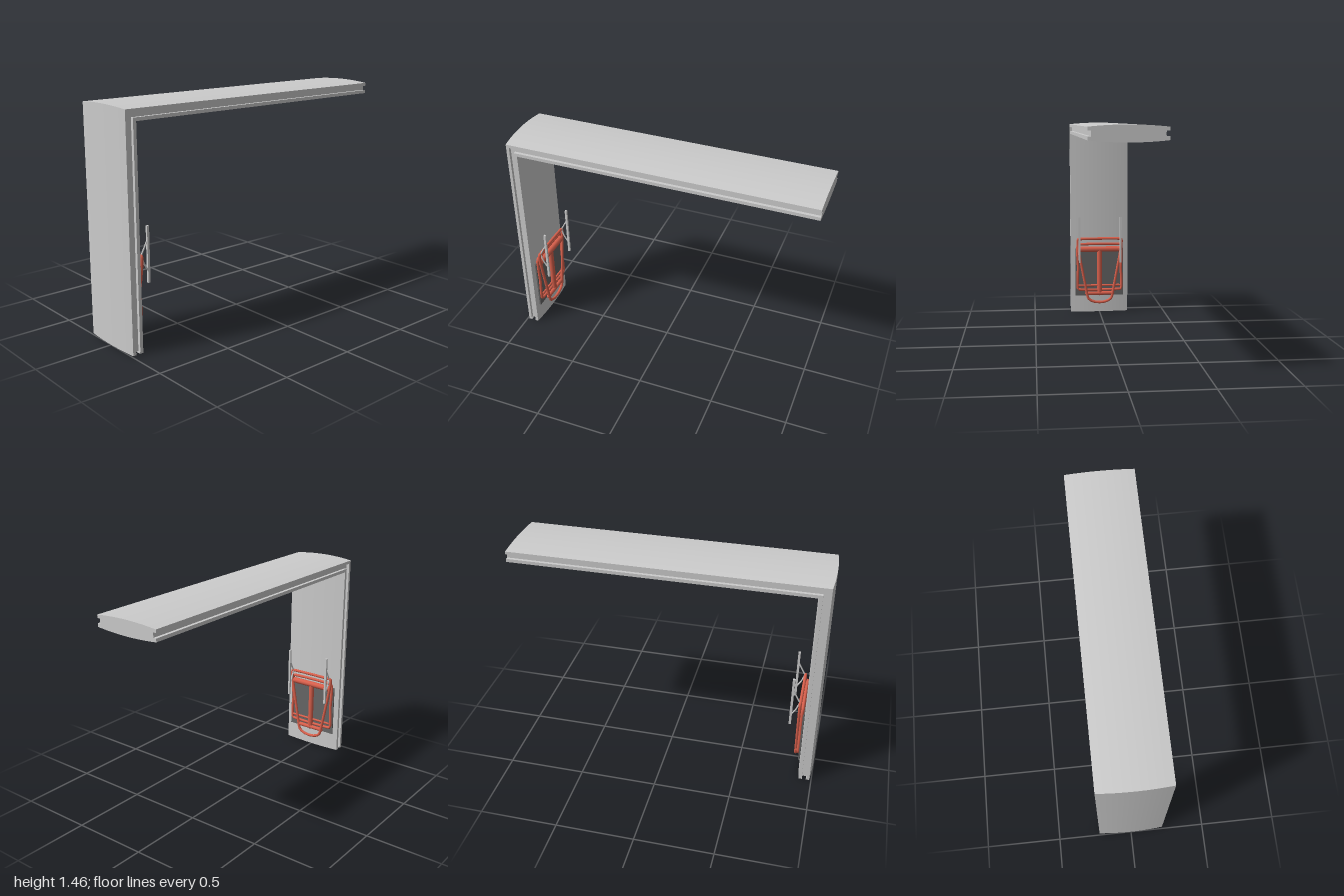
import * as THREE from 'three';
import { toCreasedNormals } from 'three/addons/utils/BufferGeometryUtils.js';

const H = 1.46, T = 0.095, W = 0.22;
const material = (color) => new THREE.MeshStandardMaterial({ color });
const grey = material(0xcccccc), dark = material(0x666666), red = material(0xd9604c);
const v = (x, y, z) => new THREE.Vector3(x, y, z);

function add(parent, name, geometry, mat) {
  const mesh = new THREE.Mesh(geometry, mat);
  mesh.name = name;
  parent.add(mesh);
  return mesh;
}

// Arc across the panel width at a bulging skin: edge depth to centre depth
function arc(edge, centre, half, from) {
  const pts = [];
  for (let i = 0; i <= 16; i++) {
    const t = from * (1 - i / 8);
    pts.push([t * half, centre + (edge - centre) * t * t]);
  }
  return pts;
}

// Skin a closed (x, depth) profile through stations and cap both ends
function sweep(profile, stations) {
  const rings = stations.map((s) => profile.map(([x, d]) => s(x, d)));
  const pos = [], n = profile.length;
  const tri = (...p) => p.forEach((q) => pos.push(q.x, q.y, q.z));
  for (let j = 0; j < rings.length - 1; j++) {
    for (let i = 0; i < n; i++) {
      const k = (i + 1) % n, a = rings[j], b = rings[j + 1];
      tri(a[i], a[k], b[k]);
      tri(a[i], b[k], b[i]);
    }
  }
  const faces = THREE.ShapeUtils.triangulateShape(profile.map(([x, d]) => new THREE.Vector2(x, d)), []);
  const last = rings[rings.length - 1];
  for (const [a, b, c] of faces) {
    tri(rings[0][c], rings[0][b], rings[0][a]);
    tri(last[a], last[b], last[c]);
  }
  const g = new THREE.BufferGeometry();
  g.setAttribute('position', new THREE.Float32BufferAttribute(pos, 3));
  return toCreasedNormals(g, 0.4);
}

// Round bar through a few points
function rod(parent, name, points, radius, mat, closed = false) {
  const path = new THREE.CatmullRomCurve3(points, closed, 'catmullrom', 0.12);
  add(parent, name, new THREE.TubeGeometry(path, points.length * 12, radius, 10, closed), mat);
  if (!closed) {
    for (const p of [points[0], points[points.length - 1]]) {
      add(parent, name + 'End', new THREE.SphereGeometry(radius, 10, 6), mat).position.copy(p);
    }
  }
}

function box(parent, name, size, position, mat) {
  add(parent, name, new THREE.BoxGeometry(...size), mat).position.set(...position);
}

export function createModel() {
  const model = new THREE.Group();

  // Mitred wall and roof panel with a groove along both edges
  const outer = arc(0.012, 0, W, -1), inner = arc(T - 0.012, T, W, 1);
  const groove = [[W, 0.032], [0.2, 0.032], [0.2, 0.062], [W, 0.062]];
  const mirrored = groove.map(([x, d]) => [-x, d]).reverse();
  const profile = [...outer, ...groove, ...inner, ...mirrored];
  add(model, 'wallAndRoofPanel', sweep(profile, [
    (x, d) => v(x, 0.012, 1 - d),
    (x, d) => v(x, H - d, 1 - d),
    (x, d) => v(x, H - d, -1),
  ]), grey);

  // Two lips leave a groove along the foot of the wall
  const foot = [(x, d) => v(x, 0, 1 - d), (x, d) => v(x, 0.012, 1 - d)];
  add(model, 'outerFootLip', sweep([...outer, [W, 0.035], [-W, 0.035]], foot), grey);
  add(model, 'innerFootLip', sweep([...inner, [-W, 0.06], [W, 0.06]], foot), grey);

  const carrier = new THREE.Group();
  carrier.name = 'foldingCarrier';
  model.add(carrier);

  // Backing plate on the inside of the wall
  box(carrier, 'backingPlate', [0.37, 0.37, 0.01], [0, 0.315, 0.904], dark);

  // Rectangular rear frame with a doubled lower rail
  rod(carrier, 'rearFrame', [
    v(-0.165, 0.18, 0.893), v(-0.165, 0.35, 0.893), v(-0.165, 0.53, 0.893),
    v(0.165, 0.53, 0.893), v(0.165, 0.35, 0.893), v(0.165, 0.18, 0.893),
  ], 0.01, red, true);
  rod(carrier, 'lowerRail', [v(-0.165, 0.21, 0.893), v(0.165, 0.21, 0.893)], 0.008, red);

  // Thick T-shaped spine
  rod(carrier, 'spineCrossBar', [v(-0.15, 0.495, 0.885), v(0.15, 0.495, 0.885)], 0.021, red);
  rod(carrier, 'spine', [v(0, 0.15, 0.885), v(0, 0.495, 0.885)], 0.019, red);
  rod(carrier, 'spineFoot', [v(-0.1, 0.15, 0.88), v(0.1, 0.15, 0.88)], 0.014, red);

  // Front loop tapering to a rounded lower end
  const loop = [v(0.165, 0.575, 0.874), v(0.155, 0.45, 0.874), v(0.105, 0.18, 0.874)];
  for (let i = 0; i <= 8; i++) {
    const a = (i / 8) * Math.PI;
    loop.push(v(0.095 * Math.cos(a), 0.13 - 0.05 * Math.sin(a), 0.874));
  }
  loop.push(v(-0.105, 0.18, 0.874), v(-0.155, 0.45, 0.874), v(-0.165, 0.575, 0.874));
  rod(carrier, 'frontLoop', loop, 0.01, red, true);

  // Upright grip bars held by pairs of thin links
  for (const s of [-1, 1]) {
    const x = s * 0.157;
    box(carrier, 'gripBar', [0.014, 0.35, 0.015], [x, 0.575, 0.82], grey);
    rod(carrier, 'upperLink', [v(x, 0.58, 0.868), v(x, 0.66, 0.825)], 0.005, grey);
    rod(carrier, 'lowerLink', [v(x, 0.57, 0.868), v(x, 0.52, 0.85), v(x, 0.48, 0.825)], 0.005, grey);
  }
  return model;
}
